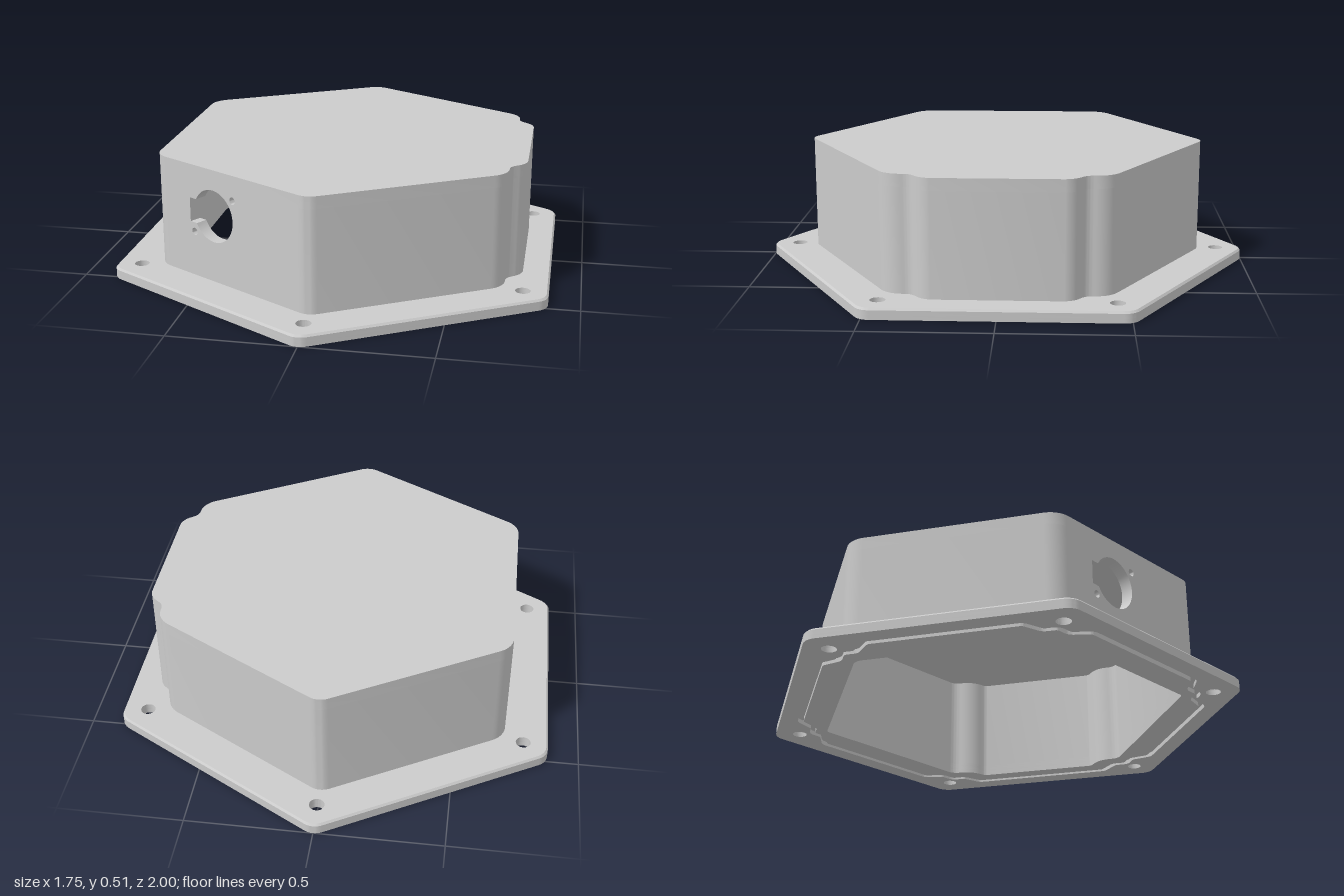
import * as THREE from 'three';
import { toCreasedNormals } from 'three/addons/utils/BufferGeometryUtils.js';

const material = new THREE.MeshStandardMaterial({ color: 0xcccccc });
const WALL = 0.05, FLANGE_TOP = 0.045, GROOVE_TOP = 0.018, CEILING = 0.46, TOP = 0.51;

// Moves every edge of a counter-clockwise outline inwards by d; corners are [x, y, radius]
function inset(corners, d) {
  const n = corners.length;
  return corners.map(([x, y, r], i) => {
    const [px, py] = corners[(i + n - 1) % n], [qx, qy] = corners[(i + 1) % n];
    const a = new THREE.Vector2(x - px, y - py).normalize();
    const b = new THREE.Vector2(qx - x, qy - y).normalize();
    const turn = a.cross(b), k = d / (1 + a.dot(b));
    return [x - (a.y + b.y) * k, y + (a.x + b.x) * k, r - Math.sign(turn) * d];
  });
}

// Turns corners into points, each corner rounded by an arc
function rounded(corners, steps = 8) {
  const n = corners.length, points = [];
  corners.forEach(([x, y, r], i) => {
    const [px, py] = corners[(i + n - 1) % n], [qx, qy] = corners[(i + 1) % n];
    const a = Math.atan2(y - py, x - px);
    let turn = Math.atan2(qy - y, qx - x) - a;
    turn = Math.atan2(Math.sin(turn), Math.cos(turn));
    const s = Math.sign(turn), t = r * Math.tan(Math.abs(turn) / 2);
    const cx = x - Math.cos(a) * t - Math.sin(a) * r * s;
    const cy = y - Math.sin(a) * t + Math.cos(a) * r * s;
    for (let j = 0; j <= steps; j++) {
      const f = a + turn * j / steps;
      points.push(new THREE.Vector2(cx + Math.sin(f) * r * s, cy - Math.cos(f) * r * s));
    }
  });
  return points;
}

const circle = (x, y, r) => new THREE.Path().absarc(x, y, r, 0, Math.PI * 2, false);

// Upright slab from a plan outline; plan y points to the back
function slab(name, points, holes, y0, y1, edit) {
  const shape = new THREE.Shape(points);
  shape.holes = holes.map(h => (h instanceof THREE.Path ? h : new THREE.Path(h)));
  const geo = new THREE.ExtrudeGeometry(shape, { depth: y1 - y0, bevelEnabled: false, curveSegments: 10 });
  geo.rotateX(-Math.PI / 2).translate(0, y0, 0);
  if (edit) edit(geo.attributes.position);
  const mesh = new THREE.Mesh(toCreasedNormals(geo, 0.5), material);
  mesh.name = name;
  return mesh;
}

export function createModel() {
  const group = new THREE.Group();
  group.name = 'enclosure';

  // Body outline: hexagon with a shallow bulge on the left; the ported wall closes the loop
  const body = [
    [0, -0.826, 0.07], [0.7, -0.422, 0.1], [0.7, -0.33, 0.05], [0.765, -0.28, 0.08],
    [0.765, 0.28, 0.08], [0.7, 0.33, 0.05], [0.7, 0.422, 0.1], [0, 0.826, 0.07],
    [-0.7, 0.422, 0.1], [-0.7, -0.422, 0.1],
  ];
  const outer = rounded(body), cavity = rounded(inset(body, WALL));

  // Walls on all sides but the ported one, and the closed top
  group.add(slab('walls', [...outer, ...cavity.slice().reverse()], [], FLANGE_TOP, CEILING));
  group.add(slab('lid', outer, [], CEILING, TOP));

  // Ported wall: round opening with a key notch and two screw holes
  const start = outer[outer.length - 1], end = outer[0];
  const length = start.distanceTo(end), h = CEILING - FLANGE_TOP;
  const panel = new THREE.Shape([[0, 0], [length, 0], [length, h], [0, h]].map(p => new THREE.Vector2(...p)));
  const u = 0.26, v = 0.32 - FLANGE_TOP, R = 0.107, notch = Math.asin(0.05 / R);
  const port = new THREE.Path();
  port.absarc(u, v, R, notch - Math.PI, Math.PI - notch, false);
  port.lineTo(u - 0.13, v + 0.05);
  port.lineTo(u - 0.13, v - 0.05);
  port.closePath();
  panel.holes.push(port, circle(u + 0.108, v + 0.088, 0.015), circle(u - 0.108, v - 0.088, 0.015));
  const panelGeo = new THREE.ExtrudeGeometry(panel, { depth: WALL, bevelEnabled: false, curveSegments: 24 });
  panelGeo.translate(0, 0, -WALL);
  const portedWall = new THREE.Mesh(toCreasedNormals(panelGeo, 0.5), material);
  portedWall.name = 'portedWall';
  portedWall.position.set(start.x, FLANGE_TOP, -start.y);
  portedWall.rotation.y = Math.atan2(end.y - start.y, end.x - start.x);
  group.add(portedWall);

  // Flange outline, bolt holes, and seal groove stepping inwards past each bolt
  const flange = [], bolts = [], groove = [];
  for (let k = 0; k < 6; k++) {
    const a = k * Math.PI / 3, c = Math.cos(a), s = Math.sin(a);
    const corner = a + Math.PI / 6;
    flange.push([1.0104 * Math.cos(corner), 1.0104 * Math.sin(corner), 0.067]);
    bolts.push(circle(0.895 * Math.cos(corner), 0.895 * Math.sin(corner), 0.03));
    for (const [d, t] of [[0.725, -0.36], [0.79, -0.3], [0.79, 0.3], [0.725, 0.36], [0.725, 0.4186]])
      groove.push([d * c - t * s, d * s + t * c, 0.03]);
  }
  const rim = rounded(flange);
  const grooveOuter = rounded(inset(groove, -0.012), 4), grooveInner = rounded(inset(groove, 0.012), 4);

  // Softens the flange's upper outer edge
  const chamfer = pos => {
    for (let i = 0; i < pos.count; i++) {
      const x = pos.getX(i), z = pos.getZ(i);
      const reach = Math.max(Math.abs(x), Math.abs(x) / 2 + Math.abs(z) * 0.866);
      if (pos.getY(i) > 0.04 && reach > 0.84) pos.setXYZ(i, x * 0.992, pos.getY(i), z * 0.992);
    }
  };
  group.add(slab('flangeBottomOuter', rim, [grooveOuter, ...bolts], 0, GROOVE_TOP));
  group.add(slab('flangeBottomInner', grooveInner, [cavity], 0, GROOVE_TOP));
  group.add(slab('flangeMiddle', rim, [cavity, ...bolts], GROOVE_TOP, 0.037));
  group.add(slab('flangeTop', rim, [cavity, ...bolts], 0.037, FLANGE_TOP, chamfer));
  return group;
}
